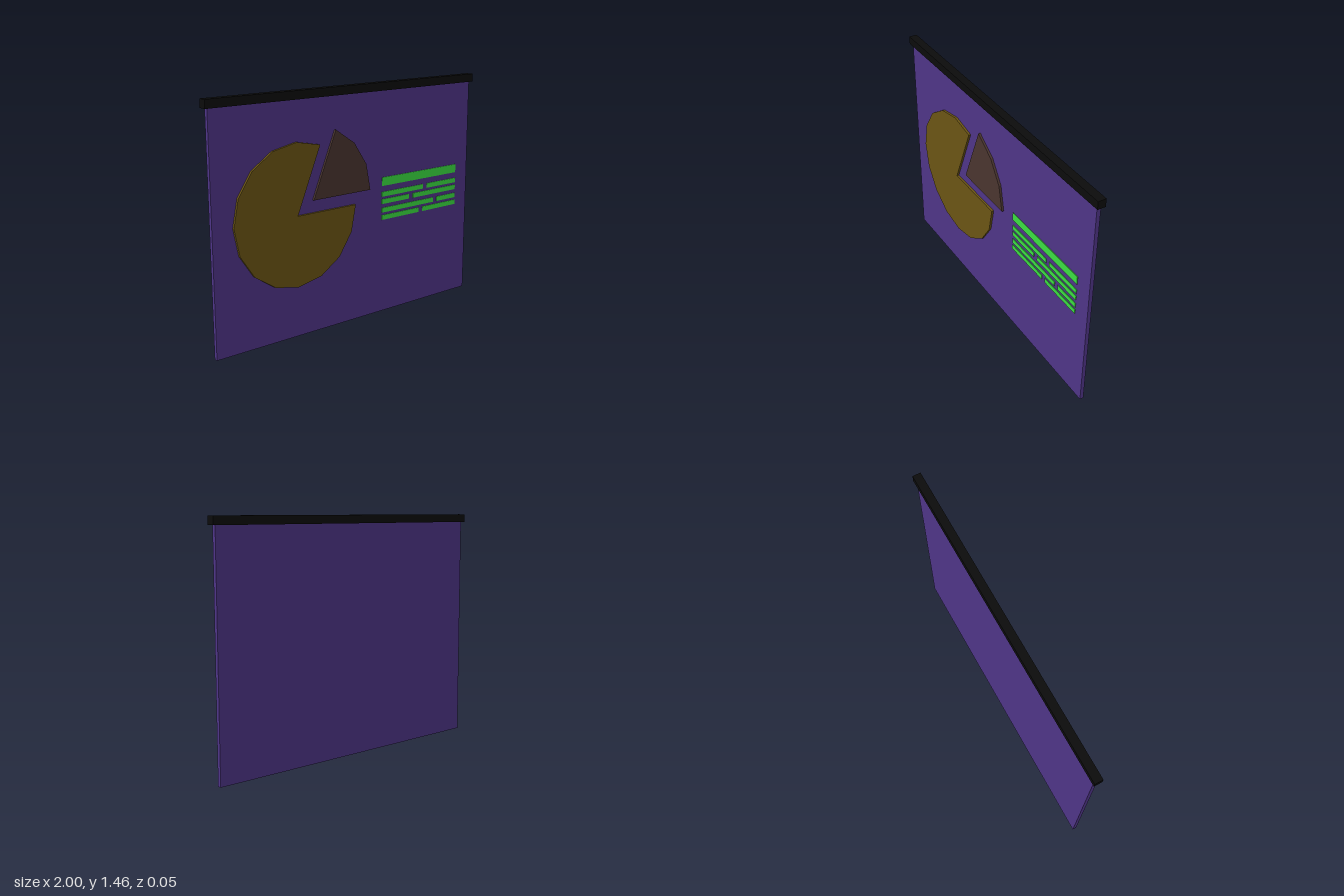
import * as THREE from 'three';

const mat = (color) => new THREE.MeshStandardMaterial({ color, flatShading: true });

function addBox(parent, name, material, x0, x1, y0, y1, z0, z1) {
  const mesh = new THREE.Mesh(new THREE.BoxGeometry(x1 - x0, y1 - y0, z1 - z0), material);
  mesh.position.set((x0 + x1) / 2, (y0 + y1) / 2, (z0 + z1) / 2);
  mesh.name = name;
  parent.add(mesh);
}

// Pie wedge spanning steps of a 16-sided circle, with its apex at (x, y)
function addWedge(parent, name, material, x, y, from, to) {
  const radius = 0.43;
  const points = [new THREE.Vector2(0, 0)];
  for (let i = from; i <= to; i++) {
    const a = (i * Math.PI) / 8;
    points.push(new THREE.Vector2(Math.cos(a) * radius, Math.sin(a) * radius));
  }
  const geometry = new THREE.ExtrudeGeometry(new THREE.Shape(points), { depth: 0.016, bevelEnabled: false });
  const mesh = new THREE.Mesh(geometry, material);
  mesh.position.set(x, y, 0.01);
  mesh.name = name;
  parent.add(mesh);
}

export function createModel() {
  const model = new THREE.Group();
  model.name = 'presentationScreen';

  // Screen sheet and the housing along its top
  addBox(model, 'screen', mat(0x4f3588), -0.98, 0.98, 0, 1.42, -0.012, 0.012);
  addBox(model, 'topHousing', mat(0x0c0c0c), -1, 1, 1.41, 1.46, -0.025, 0.025);

  // Pie chart with one slice pulled out
  const chart = new THREE.Group();
  chart.name = 'pieChart';
  addWedge(chart, 'pieBody', mat(0x6b5514), -0.42, 0.74, 3, 16);
  addWedge(chart, 'pieSlice', mat(0x4a352f), -0.305, 0.815, 0, 3);
  model.add(chart);

  // Heading bar and four split lines beside the chart
  const green = mat(0x3bdf42);
  const lines = new THREE.Group();
  lines.name = 'textLines';
  const left = 0.23, right = 0.873;
  addBox(lines, 'headingBar', green, left, right, 0.82, 0.874, 0.01, 0.016);
  [[0.767, 0.597], [0.72, 0.475], [0.665, 0.687], [0.618, 0.561]].forEach(([y, gap], i) => {
    addBox(lines, `lineLeft${i + 1}`, green, left, gap - 0.016, y - 0.015, y + 0.015, 0.01, 0.016);
    addBox(lines, `lineRight${i + 1}`, green, gap + 0.016, right, y - 0.015, y + 0.015, 0.01, 0.016);
  });
  model.add(lines);

  return model;
}
